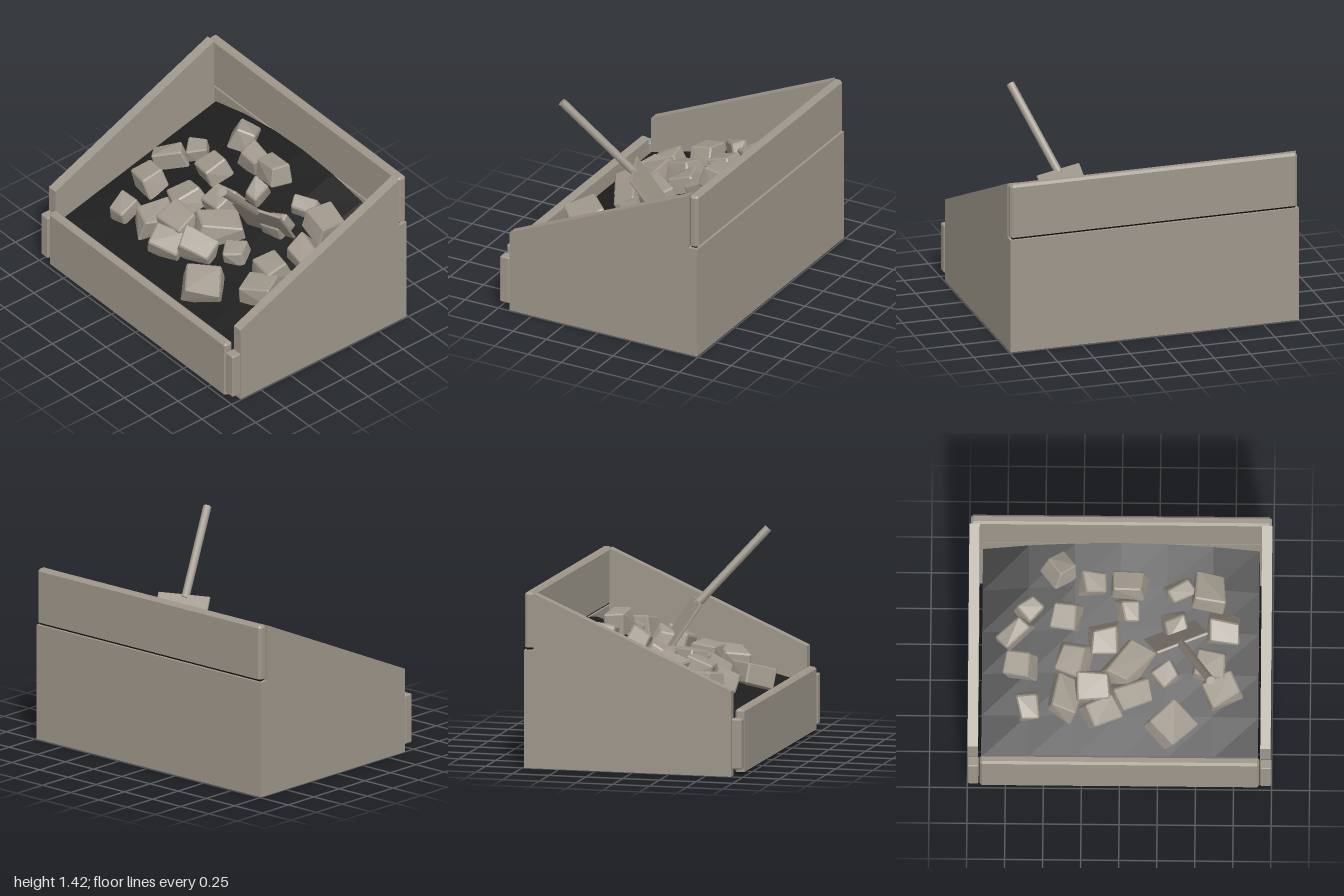
import * as THREE from 'three';
import { ConvexGeometry } from 'three/addons/geometries/ConvexGeometry.js';

const BACK = -0.74, FRONT = 0.67;

// Small seeded generator, returns -1..1
let seed = 11;
const rnd = () => {
  seed = (seed * 16807) % 2147483647;
  return (seed / 2147483647) * 2 - 1;
};

// Box with chamfered edges; jitter and taper turn it into a rough chunk
function chamferBox(w, h, d, bevel, jitter = 0, taper = 1) {
  const points = [];
  for (const sx of [-1, 1]) for (const sy of [-1, 1]) for (const sz of [-1, 1]) {
    const k = sy > 0 ? taper : 1;
    const c = new THREE.Vector3(
      sx * w * 0.5 * k * (1 + jitter * rnd()),
      sy * h * 0.5 * (1 + jitter * rnd()),
      sz * d * 0.5 * k * (1 + jitter * rnd()));
    for (let axis = 0; axis < 3; axis++) {
      const b = [bevel, bevel, bevel];
      b[axis] = 0;
      points.push(new THREE.Vector3(c.x - sx * b[0], c.y - sy * b[1], c.z - sz * b[2]));
    }
  }
  return new ConvexGeometry(points);
}

// Puts the faces that look down into material group 1, the rest into group 0
function groupUndersides(geometry) {
  const flat = geometry.index ? geometry.toNonIndexed() : geometry;
  flat.clearGroups();
  const normal = flat.attributes.normal;
  for (let i = 0; i < normal.count; i += 3) {
    flat.addGroup(i, 3, normal.getY(i) < -0.5 ? 1 : 0);
  }
  return flat;
}

// Height of the heap: climbs to the back, bulging in the middle
function heapHeight(x, z) {
  const t = (0.66 - z) / 1.33;
  return 0.33 + 0.35 * t + 0.14 * t * (1 - (x / 0.91) ** 2);
}

export function createModel() {
  const model = new THREE.Group();
  const stone = new THREE.MeshStandardMaterial({ color: 0x9f978b });
  stone.name = 'taupe';
  const dark = new THREE.MeshStandardMaterial({ color: 0x1e1e1e });
  dark.name = 'black';

  const add = (name, geometry, x = 0, y = 0, z = 0, material = stone, parent = model) => {
    const mesh = new THREE.Mesh(geometry, material);
    mesh.name = name;
    mesh.position.set(x, y, z);
    parent.add(mesh);
    return mesh;
  };
  // Board with a black underside
  const addBoard = (name, geometry, x, y, z) =>
    add(name, groupUndersides(geometry), x, y, z, [stone, dark]);

  // Sloping side walls
  const profile = new THREE.Shape([
    [FRONT, 0], [FRONT, 0.57], [-0.675, 1.165], [-0.675, 0.785], [BACK, 0.785], [BACK, 0],
  ].map(([z, y]) => new THREE.Vector2(z, y)));
  const wall = new THREE.ExtrudeGeometry(profile, { depth: 0.068, bevelEnabled: false });
  wall.rotateY(-Math.PI / 2);
  addBoard('leftWall', wall, 0.993, 0, 0);
  addBoard('rightWall', wall, -0.931, 0, 0);

  // Back boards and front board
  addBoard('lowerBackBoard', new THREE.BoxGeometry(1.86, 0.785, 0.062), 0, 0.3925, -0.709);
  addBoard('upperBackBoard', chamferBox(1.98, 0.383, 0.065, 0.016), 0, 0.978, -0.7075);
  addBoard('frontBoard', chamferBox(1.84, 0.435, 0.064, 0.016), 0, 0.2225, 0.706);

  // Corner blocks beside the front board
  for (const side of [1, -1]) {
    add(side > 0 ? 'leftFrontBlock' : 'rightFrontBlock',
      chamferBox(0.074, 0.335, 0.07, 0.007), side * 0.962, 0.2175, 0.705);
  }

  // Dark heap filling the bin
  const heap = new THREE.BoxGeometry(1.82, 1, 1.33, 6, 1, 5).toNonIndexed();
  heap.translate(0, 0, -0.007);
  const p = heap.attributes.position;
  for (let i = 0; i < p.count; i++) {
    p.setY(i, p.getY(i) > 0 ? heapHeight(p.getX(i), p.getZ(i)) : 0.002);
  }
  heap.computeVertexNormals();
  add('heap', heap, 0, 0, 0, dark);

  // Loose chunks: x, z, width, depth, turn in degrees, lift above the heap
  const chunks = [
    [-0.40, -0.50, 0.17, 0.17, 40, 0.04], [-0.18, -0.41, 0.17, 0.16, 0, 0.05],
    [0.05, -0.38, 0.23, 0.15, -5, 0.11], [0.05, -0.24, 0.13, 0.15, 10, 0.04],
    [0.39, -0.38, 0.19, 0.12, 25, 0.02], [0.58, -0.38, 0.22, 0.20, -5, 0.03],
    [-0.60, -0.26, 0.16, 0.14, 40, 0.03], [-0.70, -0.11, 0.24, 0.12, 38, 0.05],
    [-0.36, -0.21, 0.19, 0.20, -12, 0.04], [-0.10, -0.06, 0.20, 0.20, 5, 0.04],
    [0.355, -0.15, 0.17, 0.15, 15, 0.05], [0.67, -0.14, 0.23, 0.19, -10, 0.03],
    [-0.66, 0.09, 0.20, 0.18, -5, 0.05], [-0.31, 0.07, 0.20, 0.21, -15, 0.06],
    [0.06, 0.08, 0.32, 0.21, 52, 0.06], [0.59, 0.08, 0.23, 0.21, -10, 0.03],
    [-0.18, 0.23, 0.25, 0.20, 5, 0.08], [-0.36, 0.29, 0.20, 0.26, -15, 0.05],
    [-0.60, 0.35, 0.15, 0.19, 10, 0.03], [-0.12, 0.38, 0.22, 0.18, 25, 0.05],
    [0.07, 0.28, 0.26, 0.18, 20, 0.06], [0.67, 0.23, 0.23, 0.22, 25, 0.05],
    [0.34, 0.45, 0.27, 0.24, 40, 0.05], [0.30, 0.14, 0.17, 0.15, 35, 0.02],
  ];
  const pile = new THREE.Group();
  pile.name = 'chunks';
  model.add(pile);
  chunks.forEach(([x, z, w, d, turn, lift], i) => {
    const geometry = chamferBox(w, 0.145, d, 0.01, 0.2, 0.86);
    const chunk = add('chunk' + (i + 1), geometry, x, heapHeight(x, z) + lift, z, stone, pile);
    chunk.rotation.set(0.2 + 0.3 * rnd(), THREE.MathUtils.degToRad(turn), 0.3 * rnd(), 'YXZ');
  });

  // Shovel stuck in the heap
  const shovel = new THREE.Group();
  shovel.name = 'shovel';
  model.add(shovel);
  const across = new THREE.Vector3(0.33, 0, -0.138).normalize();
  const up = new THREE.Vector3(0.075, 0.32, 0.205).normalize();
  const out = new THREE.Vector3().crossVectors(across, up).normalize();
  up.crossVectors(out, across);
  const blade = add('shovelBlade', chamferBox(0.36, 0.4, 0.02, 0.004), 0.365, 0.765, -0.04, stone, shovel);
  blade.quaternion.setFromRotationMatrix(new THREE.Matrix4().makeBasis(across, up, out));

  const low = new THREE.Vector3(0.4, 0.905, 0.06), high = new THREE.Vector3(0.597, 1.4, 0.494);
  const span = high.clone().sub(low);
  const handle = add('shovelHandle', new THREE.CylinderGeometry(0.028, 0.028, span.length(), 12),
    0, 0, 0, stone, shovel);
  handle.position.copy(low).addScaledVector(span, 0.5);
  handle.quaternion.setFromUnitVectors(new THREE.Vector3(0, 1, 0), span.normalize());

  return model;
}
